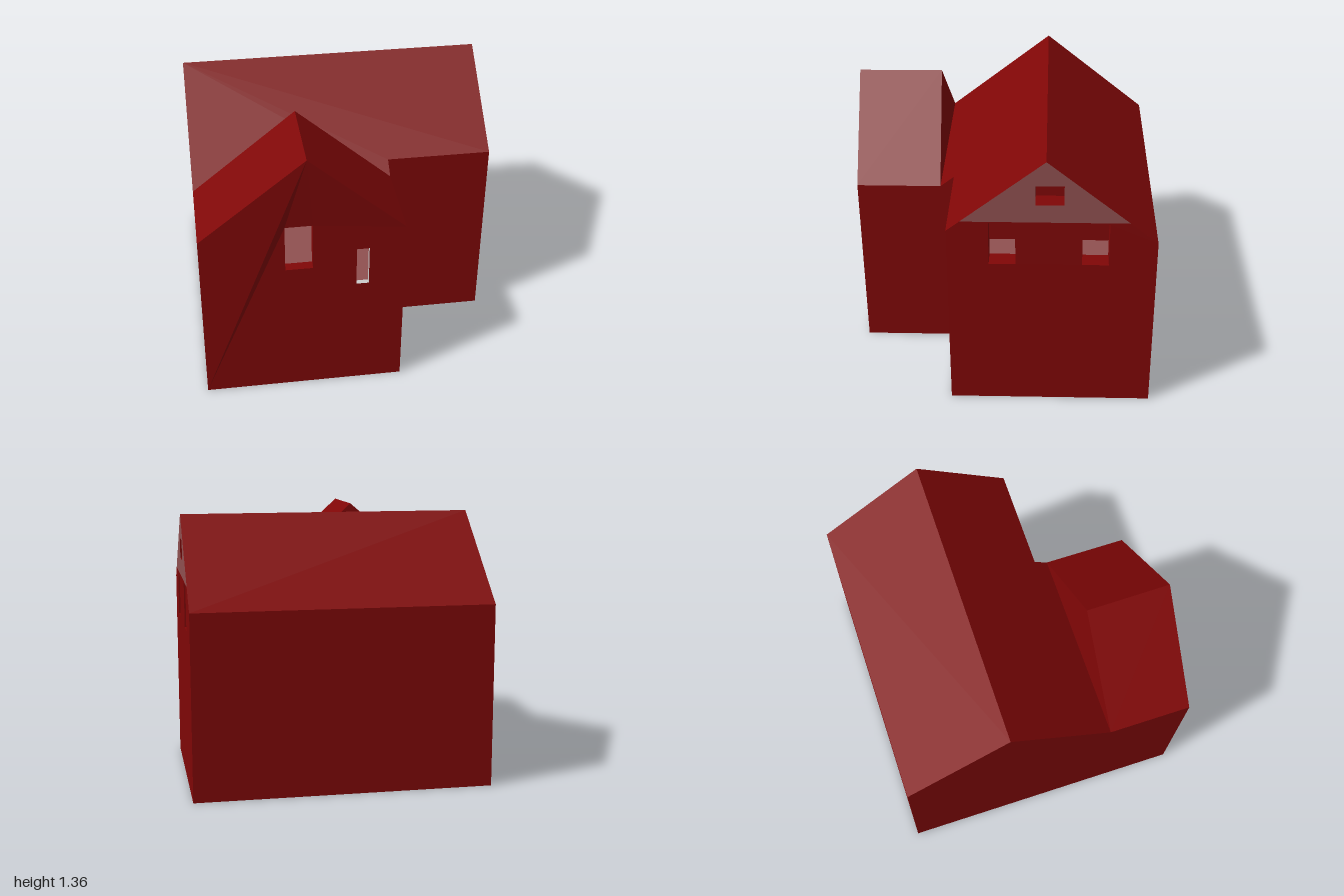
import * as THREE from 'three';

const paint = (color) => new THREE.MeshStandardMaterial({ color, side: THREE.DoubleSide, flatShading: true });

export function createModel() {
  const red = paint(0x800606), pale = paint(0x905050), grey = paint(0xcccccc);
  const house = new THREE.Group();
  house.name = 'house';
  house.rotation.y = -0.4457;

  const add = (name, geometry, material = red, parent = house) => {
    const mesh = new THREE.Mesh(geometry, material);
    mesh.name = name;
    parent.add(mesh);
    return mesh;
  };

  // Flat face as a fan around its first corner
  const face = (name, corners, material) => {
    const points = [];
    for (let i = 1; i < corners.length - 1; i++) points.push(...corners[0], ...corners[i], ...corners[i + 1]);
    const g = new THREE.BufferGeometry();
    g.setAttribute('position', new THREE.Float32BufferAttribute(points, 3));
    g.computeVertexNormals();
    return add(name, g, material);
  };

  // Upright wall in the xy plane with rectangular openings [x0, x1, y0, y1]
  const wall = (name, outline, openings, material, parent) => {
    const shape = new THREE.Shape(outline.map(([x, y]) => new THREE.Vector2(x, y)));
    for (const [x0, x1, y0, y1] of openings) {
      shape.holes.push(new THREE.Path([[x0, y0], [x0, y1], [x1, y1], [x1, y0]].map(([x, y]) => new THREE.Vector2(x, y))));
    }
    return add(name, new THREE.ShapeGeometry(shape), material, parent);
  };

  // Window reveal: a box without its front and back
  const reveal = (name, [x0, x1, y0, y1], depth, material, parent) => {
    const g = new THREE.BoxGeometry(x1 - x0, y1 - y0, depth);
    g.setIndex(Array.from(g.index.array.slice(0, 24)));
    g.clearGroups();
    add(name, g, material, parent).position.set((x0 + x1) / 2, (y0 + y1) / 2, -depth / 2);
  };

  const L = -0.705, R = 0.8, wingR = 0.279, back = -0.648, ridgeZ = -0.12;
  const front = 0.35, valley = 0.42, wingFront = 0.844;
  const eave = 0.93, frontEave = 0.985, ridge = 1.355, wingRidge = 1.36;

  // Floor and plain walls
  face('floor', [[L, 0, back], [R, 0, back], [R, 0, front], [wingR, 0, front], [wingR, 0, wingFront], [L, 0, wingFront]], pale);
  face('backWall', [[R, 0, back], [L, 0, back], [L, eave, back], [R, eave, back]]);
  face('frontWall', [[wingR, 0, front], [R, 0, front], [R, frontEave, front], [wingR, frontEave, front]]);
  face('wingSideWall', [[wingR, 0, wingFront], [wingR, 0, front], [wingR, frontEave, front], [wingR, eave, valley], [wingR, eave, wingFront]]);
  const side = new THREE.Group();
  side.name = 'longSideWall';
  side.rotation.y = -Math.PI / 2;
  side.position.x = L;
  house.add(side);
  wall('longGableWall', [[back, 0], [wingFront, 0], [wingFront, eave], [valley, eave], [ridgeZ, ridge], [back, eave]], [], red, side);

  // Gable end with two windows and an attic window
  const end = new THREE.Group();
  end.name = 'gableEnd';
  end.rotation.y = Math.PI / 2;
  end.position.x = R;
  house.add(end);
  const split = 1.037, gableFront = -0.284, gableBack = 0.515;
  const windows = [[-0.15, -0.023, 0.805, 1.03], [0.293, 0.42, 0.805, 1.03]];
  const attic = [0.071, 0.204, 1.13, 1.23];
  wall('gableEndWall', [[-front, 0], [-back, 0], [-back, eave], [gableBack, split], [gableFront, split], [-front, frontEave]], windows, red, end);
  wall('gableTriangle', [[gableFront, split], [gableBack, split], [-ridgeZ, ridge]], [attic], pale, end);
  for (const w of [...windows, attic]) reveal('windowReveal', w, 0.09, red, end);

  // Wing front, its peak leaning slightly forward
  const wing = new THREE.Group();
  wing.name = 'wingFront';
  wing.position.z = wingFront;
  house.add(wing);
  const wide = [-0.299, -0.166, 0.73, 0.98], narrow = [0.044, 0.105, 0.61, 0.82];
  const wingWall = wall('wingFrontWall', [[L, 0], [wingR, 0], [wingR, eave], [-0.195, wingRidge], [L, eave]], [wide, narrow], red, wing);
  const p = wingWall.geometry.attributes.position;
  for (let i = 0; i < p.count; i++) if (p.getY(i) > 1.3) p.setZ(i, 0.024);
  reveal('wideWindowReveal', wide, 0.05, red, wing);
  reveal('narrowWindowReveal', narrow, 0.025, grey, wing);

  // Main roof
  face('mainRoofBack', [[R, eave, back], [L, eave, back], [L, ridge, ridgeZ], [R, ridge, ridgeZ]]);
  face('mainRoofFront', [[L, ridge, ridgeZ], [L, eave, valley], [wingR, eave, valley], [wingR, frontEave, front], [R, frontEave, front], [R, ridge, ridgeZ]]);

  // Wing roof and its rear gable
  const peakFront = [-0.195, wingRidge, wingFront + 0.024], peakBack = [-0.198, wingRidge, 0.438];
  face('wingRoofLong', [[L, eave, valley], [L, eave, wingFront], peakFront, peakBack]);
  face('wingRoofShort', [[wingR, eave, wingFront], [wingR, eave, valley], peakBack, peakFront]);
  face('wingRearGable', [[wingR, eave, valley], [L, eave, valley], peakBack]);

  const model = new THREE.Group();
  model.name = 'model';
  model.add(house);
  return model;
}
